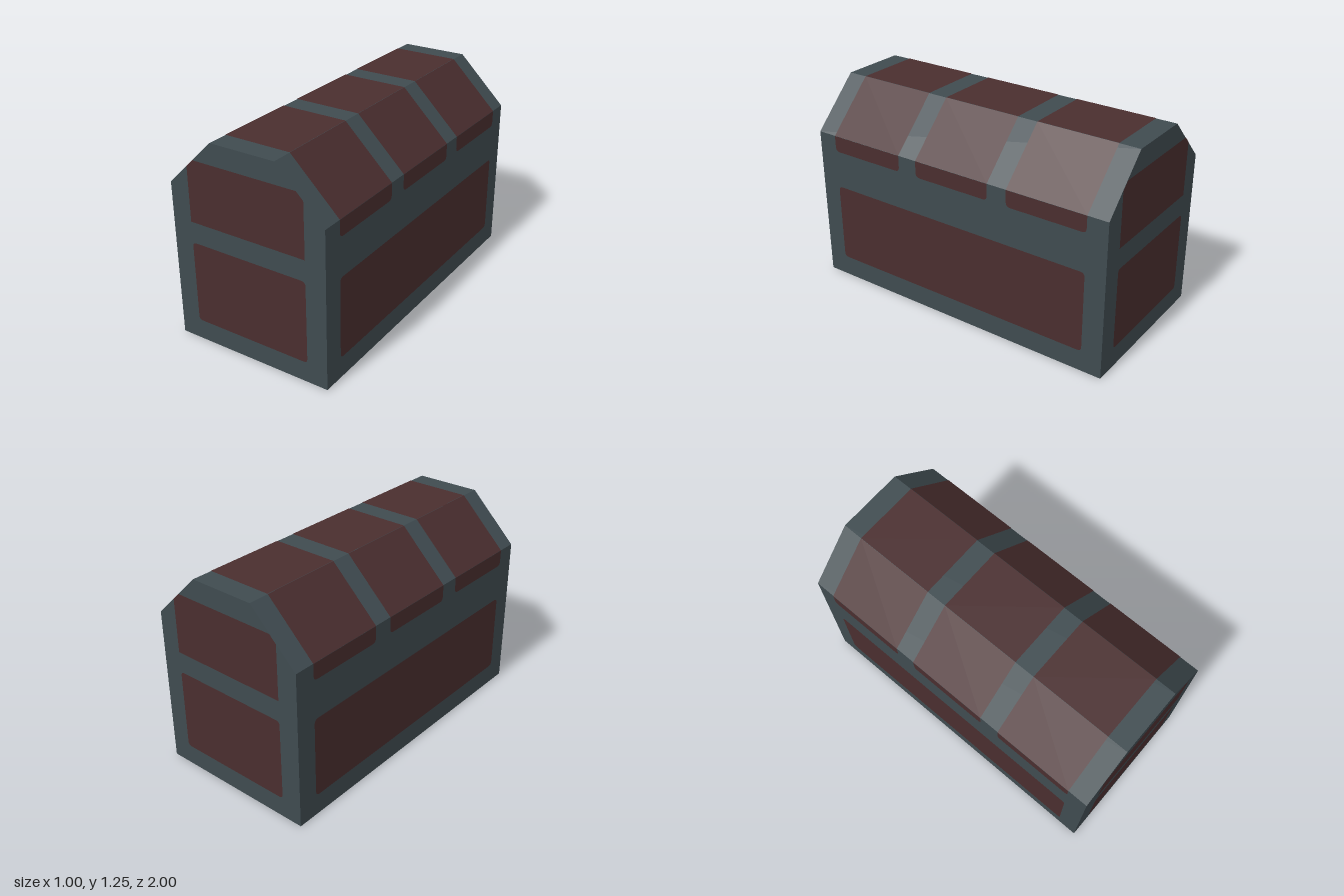
import * as THREE from 'three';

const frameMat = new THREE.MeshStandardMaterial({ color: 0x3f4b50 });
frameMat.name = 'slate frame';
const panelMat = new THREE.MeshStandardMaterial({ color: 0x4a2e2f });
panelMat.name = 'dark red panel';

const LIFT = 0.002;
const EAVE = 0.96, TOP = 1.25, HALF = 0.5, RIDGE = 0.205;

// Flat shape from points
function flat(points) {
  return new THREE.ShapeGeometry(new THREE.Shape(points.map(([x, y]) => new THREE.Vector2(x, y))));
}

// Rectangle centred on the origin, lower and upper corners rounded separately
function plate(w, h, rLow, rHigh) {
  const s = new THREE.Shape(), x = w / 2, y = h / 2;
  s.moveTo(-x + rLow, -y);
  s.lineTo(x - rLow, -y);
  if (rLow) s.quadraticCurveTo(x, -y, x, -y + rLow);
  s.lineTo(x, y - rHigh);
  if (rHigh) s.quadraticCurveTo(x, y, x - rHigh, y);
  s.lineTo(-x + rHigh, y);
  if (rHigh) s.quadraticCurveTo(-x, y, -x, y - rHigh);
  s.lineTo(-x, -y + rLow);
  if (rLow) s.quadraticCurveTo(-x, -y, -x + rLow, -y);
  return new THREE.ShapeGeometry(s, 4);
}

export function createModel() {
  const chest = new THREE.Group();
  chest.name = 'chest';

  function add(name, geometry, material, parent = chest) {
    const mesh = new THREE.Mesh(geometry, material);
    mesh.name = name;
    parent.add(mesh);
    return mesh;
  }

  // Chest body with a faceted lid
  const profile = new THREE.Shape([
    [-HALF, 0], [HALF, 0], [HALF, EAVE], [RIDGE, TOP], [-RIDGE, TOP], [-HALF, EAVE],
  ].map(([x, y]) => new THREE.Vector2(x, y)));
  const body = new THREE.ExtrudeGeometry(profile, { depth: 2, bevelEnabled: false });
  body.translate(0, 0, -1);
  add('body', body, frameMat);

  // End panels, the upper one clipped by the lid slope
  for (const [name, turn] of [['front', 0], ['back', Math.PI]]) {
    const end = new THREE.Group();
    end.name = name + 'Panels';
    end.rotation.y = turn;
    chest.add(end);
    add(name + 'LowerPanel', plate(0.75, 0.5, 0.025, 0.025), panelMat, end)
      .position.set(0, 0.375, 1 + LIFT);
    add(name + 'LidPanel', flat([
      [-0.375, 0.752], [0.375, 0.752], [0.375, 1.083], [0.332, 1.125], [-0.332, 1.125], [-0.375, 1.083],
    ]), panelMat, end).position.z = 1 + LIFT;
  }

  // Side panels and the lid panels that fold over the eaves
  const run = HALF - RIDGE, rise = TOP - EAVE;
  const slope = Math.hypot(run, rise);
  const bands = [-0.625, 0, 0.625];
  for (const [name, sign] of [['left', 1], ['right', -1]]) {
    const side = new THREE.Group();
    side.name = name + 'Panels';
    side.rotation.y = sign * Math.PI / 2;
    chest.add(side);
    add(name + 'LowerPanel', plate(1.75, 0.495, 0.028, 0.028), panelMat, side)
      .position.set(0, 0.377, HALF + LIFT);
    for (const z of bands) {
      add(name + 'LidFlap', plate(0.5, 0.1, 0.028, 0), panelMat, side)
        .position.set(z, EAVE - 0.05, HALF + LIFT);
      const roof = add(name + 'LidSlope', plate(0.5, slope, 0, 0), panelMat, side);
      roof.rotation.x = -Math.atan2(run, rise);
      roof.position.set(z, (EAVE + TOP) / 2 + LIFT * run / slope, (HALF + RIDGE) / 2 + LIFT * rise / slope);
    }
  }

  // Top panels
  for (const z of bands) {
    const top = add('topPanel', plate(RIDGE * 2, 0.5, 0, 0), panelMat);
    top.rotation.x = -Math.PI / 2;
    top.position.set(0, TOP + LIFT, z);
  }

  // Underside panel
  const base = add('basePanel', plate(0.75, 1.75, 0.028, 0.028), panelMat);
  base.rotation.x = Math.PI / 2;
  base.position.y = -LIFT;

  return chest;
}
